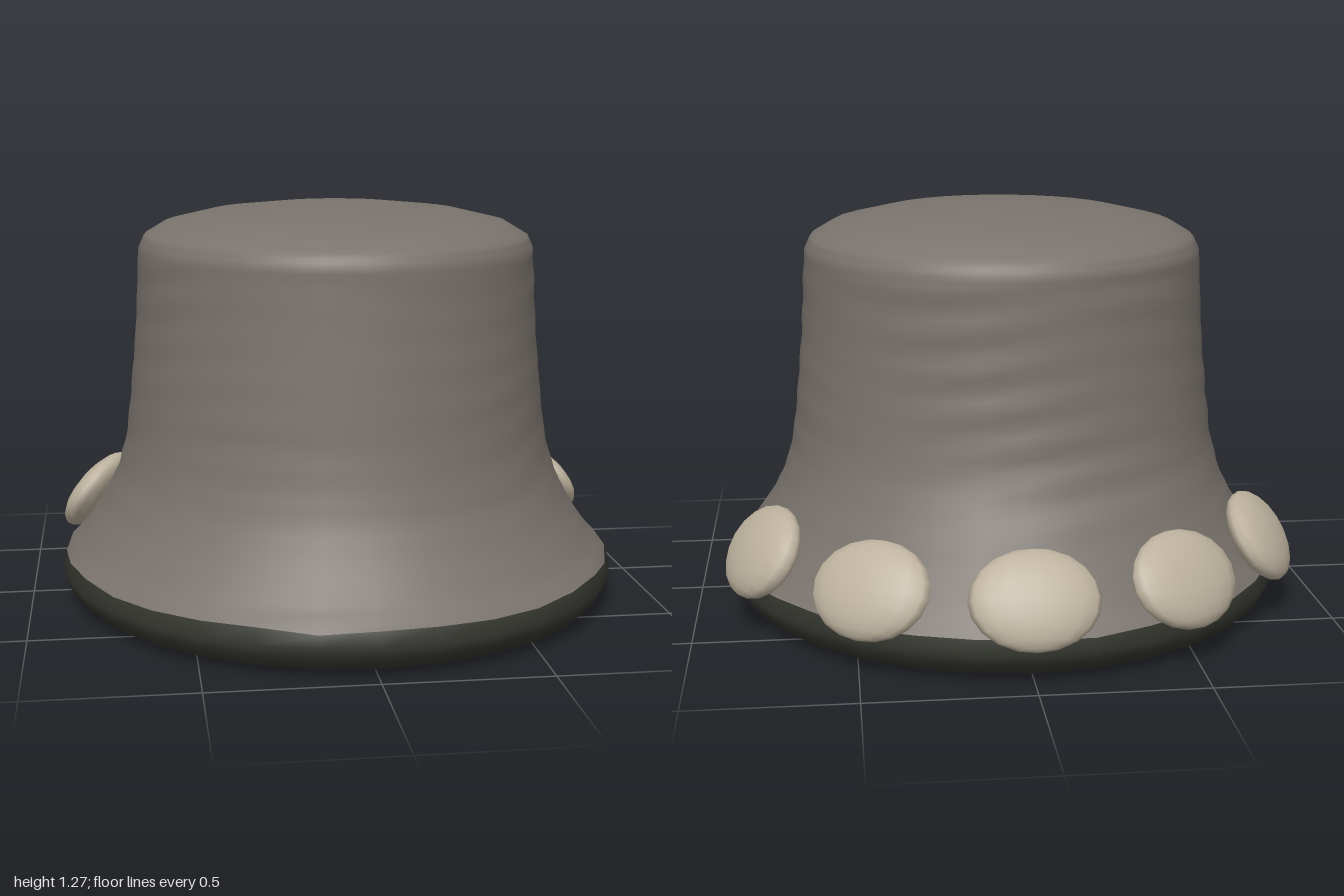
import * as THREE from 'three';

const SIDES = 32;

// Profile rows: [height, half width, front depth, back depth]
const SOLE = [
  [0, 0, 0, 0], [0, 0.5, 0.6, 0.55], [0.004, 0.8, 0.89, 0.84], [0.025, 0.86, 0.945, 0.9],
  [0.06, 0.89, 0.975, 0.935], [0.1, 0.903, 0.995, 0.955], [0.143, 0.89, 0.975, 0.945],
];
const LEG = [
  [0.143, 0.89, 0.975, 0.945], [0.2, 0.84, 0.915, 0.9], [0.3, 0.77, 0.85, 0.84],
  [0.4, 0.72, 0.8, 0.785], [0.5, 0.69, 0.773, 0.73], [0.6, 0.675, 0.755, 0.7],
  [0.7, 0.665, 0.745, 0.685], [0.8, 0.655, 0.735, 0.672], [0.9, 0.647, 0.725, 0.663],
  [1.0, 0.642, 0.717, 0.657], [1.08, 0.638, 0.712, 0.653], [1.13, 0.635, 0.71, 0.65],
  [1.17, 0.617, 0.69, 0.63], [1.21, 0.55, 0.61, 0.555], [1.245, 0.4, 0.45, 0.41],
  [1.266, 0.2, 0.22, 0.2], [1.275, 0, 0, 0],
];

// Adds straight in-between rows so the hide can carry wrinkles
function subdivide(rows, steps) {
  const out = [];
  for (let i = 0; i < rows.length - 1; i++)
    for (let s = 0; s < steps; s++)
      out.push(rows[i].map((v, k) => v + (rows[i + 1][k] - v) * s / steps));
  out.push(rows[rows.length - 1]);
  return out;
}

// Skins closed rings, each with its own front and back depth
function loft(rows, rule) {
  const pos = [], index = [];
  rows.forEach(([y, w, front, back], r) => {
    for (let i = 0; i < SIDES; i++) {
      const t = i / SIDES * Math.PI * 2;
      const { swell, lift } = rule(t, y);
      const c = Math.cos(t);
      pos.push(Math.sin(t) * w * swell, y + lift, c * (c > 0 ? front : back) * swell);
      if (r === rows.length - 1) continue;
      const a = r * SIDES + i, b = r * SIDES + (i + 1) % SIDES;
      if (w > 0) index.push(a, b, b + SIDES);
      if (rows[r + 1][1] > 0) index.push(a, b + SIDES, a + SIDES);
      else if (w === 0) index.push(a, b, b + SIDES);
    }
  });
  const geo = new THREE.BufferGeometry();
  geo.setAttribute('position', new THREE.Float32BufferAttribute(pos, 3));
  geo.setIndex(index);
  geo.computeVertexNormals();
  return geo;
}

// Wavy line where hide meets sole
const hem = (t, y) => Math.abs(y - 0.143) < 0.001 ? 0.005 * Math.sin(9 * t) + 0.003 * Math.sin(14 * t + 1) : 0;

// Shallow horizontal wrinkles, strongest at the sides and back
function wrinkle(t, y) {
  const band = THREE.MathUtils.smoothstep(y, 0.25, 0.5) * (1 - THREE.MathUtils.smoothstep(y, 1.08, 1.15));
  const around = 0.3 + 0.7 * (1 - Math.cos(t)) / 2;
  const wave = Math.sin(y * 52 + 2 * Math.sin(3 * t)) * (0.6 + 0.4 * Math.sin(5 * t + y * 7));
  return { swell: 1 + 0.006 * band * around * wave, lift: hem(t, y) };
}

export function createModel() {
  const hide = new THREE.MeshStandardMaterial({ color: 0x7a736d });
  hide.name = 'grey hide';
  const soleMat = new THREE.MeshStandardMaterial({ color: 0x34362f });
  soleMat.name = 'dark sole';
  const nailMat = new THREE.MeshStandardMaterial({ color: 0xbcb19d });
  nailMat.name = 'pale nail';

  const group = new THREE.Group();
  group.name = 'foot';
  const add = (name, geo, mat) => {
    const mesh = new THREE.Mesh(geo, mat);
    mesh.name = name;
    group.add(mesh);
    return mesh;
  };

  add('sole', loft(SOLE, (t, y) => ({ swell: 1, lift: hem(t, y) })), soleMat);
  add('leg', loft(subdivide(LEG, 3), wrinkle), hide);

  // Five toenails leaning against the flared rear edge
  const nail = new THREE.SphereGeometry(1, 16, 10);
  nail.scale(0.193, 0.152, 0.062);
  const place = (name, x, z, yaw) => {
    const mesh = add(name, nail, nailMat);
    mesh.position.set(x, 0.247, z);
    mesh.rotation.set(-0.61, Math.PI - yaw, 0, 'YXZ');
  };
  place('middleNail', 0, -0.9, 0);
  for (const [side, s] of [['left', 1], ['right', -1]]) {
    place(side + 'InnerNail', s * 0.46, -0.768, s * 0.58);
    place(side + 'OuterNail', s * 0.782, -0.385, s * 1.15);
  }
  return group;
}
